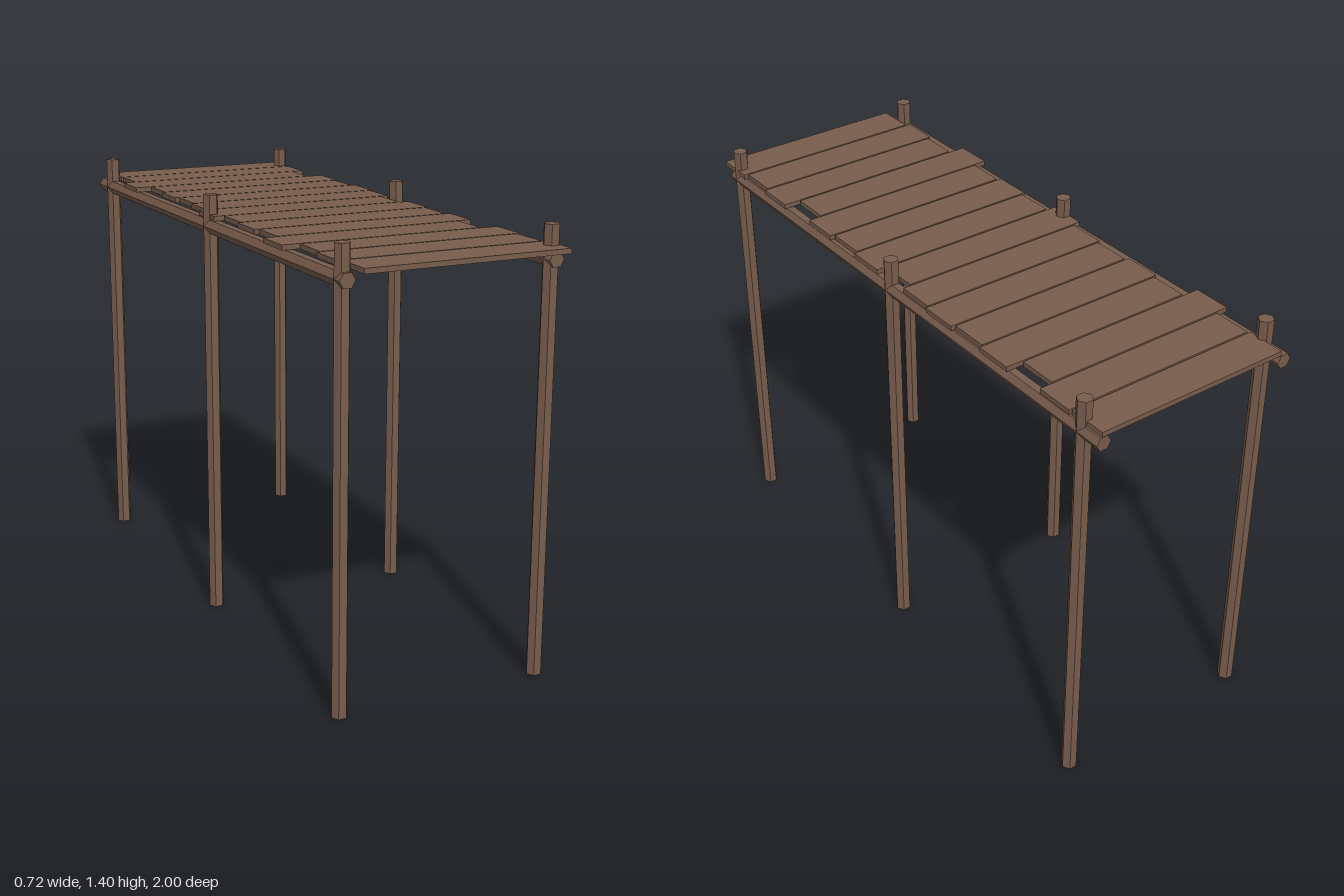
import * as THREE from 'three';

const wood = new THREE.MeshStandardMaterial({ color: 0x785d4c, flatShading: true });
wood.name = 'brown wood';

// Hexagonal pole with corners pointing to +x and -x
function pole(length) {
  return new THREE.CylinderGeometry(0.025, 0.025, length, 6).rotateY(Math.PI / 2);
}

export function createModel() {
  const model = new THREE.Group();
  model.name = 'woodenWalkway';

  function add(name, geometry, x, y, z) {
    const mesh = new THREE.Mesh(geometry, wood);
    mesh.name = name;
    mesh.position.set(x, y, z);
    model.add(mesh);
  }

  // Posts and the long rails they carry
  const postGeometry = pole(1.4);
  const railGeometry = pole(1.96).rotateX(Math.PI / 2);
  for (const [side, x] of [['right', -0.337], ['left', 0.335]]) {
    for (const [place, z] of [['Back', -0.914], ['Middle', 0.009], ['Front', 0.926]]) {
      add(`${side}${place}Post`, postGeometry, x, 0.7, z);
    }
    add(`${side}Rail`, railGeometry, x, 1.299, -0.02);
  }

  // Deck planks from back to front, each shifted a little sideways
  const shifts = [0.01, 0.015, -0.031, 0.024, 0.011, 0.024, 0.013, -0.016,
    0.016, 0.003, 0.016, -0.031, 0.024, 0.011, 0.024];
  const plankGeometry = new THREE.BoxGeometry(0.664, 0.016, 0.128);
  shifts.forEach((x, i) => {
    add(`plank${i + 1}`, plankGeometry, x, 1.33, -0.936 + i * 0.1337);
  });

  return model;
}
